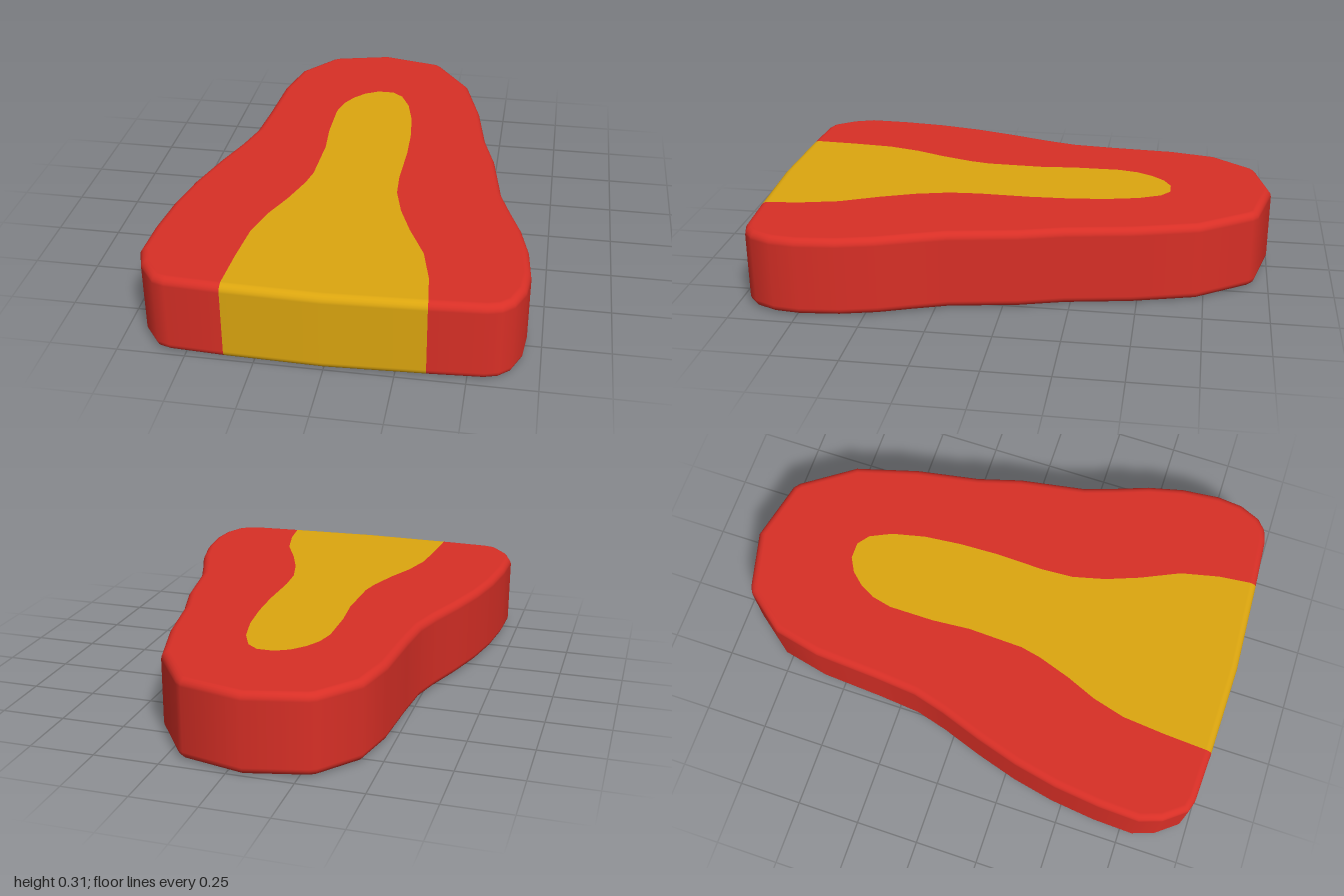
import * as THREE from 'three';

const HEIGHT = 0.31, RIM = 0.03, STEPS = 5;

// Outline [x, z], from the back tip round the left side to the front and back up the right side
const OUTLINE = [
  [-0.06, -1], [0.18, -0.945], [0.205, -0.925], [0.345, -0.725], [0.415, -0.48], [0.46, -0.23], [0.51, -0.06],
  [0.555, 0.2], [0.6, 0.33], [0.645, 0.45], [0.68, 0.59], [0.695, 0.74], [0.685, 0.84], [0.65, 0.92], [0.61, 0.955],
  [0.56, 0.97], [0.36, 0.983], [0, 1], [-0.36, 0.992], [-0.56, 0.982], [-0.605, 0.968], [-0.67, 0.885], [-0.7, 0.8],
  [-0.695, 0.64], [-0.675, 0.46], [-0.64, 0.29], [-0.59, 0.12], [-0.535, -0.04], [-0.5, -0.17], [-0.485, -0.34],
  [-0.47, -0.59], [-0.43, -0.775], [-0.31, -0.93], [-0.285, -0.945],
].map(p => new THREE.Vector2(...p));

// Border of the inlay [x, z], from its left front corner over the rounded tip to its right front corner
const INLAY = [
  [0.345, 0.83], [0.31, 0.68], [0.24, 0.53], [0.19, 0.4], [0.157, 0.27], [0.15, 0.15], [0.155, -0.05], [0.15, -0.2],
  [0.135, -0.35], [0.105, -0.48], [0.065, -0.565], [0.02, -0.6], [-0.045, -0.6], [-0.1, -0.57], [-0.145, -0.52],
  [-0.177, -0.46], [-0.195, -0.38], [-0.195, -0.2], [-0.183, -0.05], [-0.19, 0.17], [-0.207, 0.25], [-0.25, 0.38],
  [-0.3, 0.5], [-0.335, 0.63], [-0.35, 0.8],
].map(p => new THREE.Vector2(...p));

const N = OUTLINE.length;
const LEFT = OUTLINE.findIndex(p => p.x === 0.36);
const RIGHT = OUTLINE.findIndex(p => p.x === -0.36);

// Outward direction at each outline point
const NORMALS = OUTLINE.map((p, i) => {
  const a = p.clone().sub(OUTLINE[(i + N - 1) % N]).normalize();
  const b = OUTLINE[(i + 1) % N].clone().sub(p).normalize();
  const t = a.add(b).normalize();
  return new THREE.Vector2(t.y, -t.x);
});

// Side wall with rounded rims; the front strip uses the second material
function wallGeometry() {
  const pos = [], nor = [], red = [], yellow = [];
  const rows = 2 * (STEPS + 1);
  for (let j = 0; j < rows; j++) {
    const upper = j > STEPS;
    const k = upper ? j - STEPS - 1 : j - STEPS;
    const angle = (k / STEPS) * Math.PI / 2;
    const c = Math.cos(angle), s = Math.sin(angle);
    const y = (upper ? HEIGHT - RIM : RIM) + RIM * s;
    OUTLINE.forEach((p, i) => {
      const n = NORMALS[i], inset = RIM * (1 - c);
      pos.push(p.x - n.x * inset, y, p.y - n.y * inset);
      nor.push(n.x * c, s, n.y * c);
    });
  }
  for (let j = 0; j < rows - 1; j++) {
    for (let i = 0; i < N; i++) {
      const a = j * N + i, b = j * N + (i + 1) % N;
      (i >= LEFT && i < RIGHT ? yellow : red).push(a, a + N, b, b, a + N, b + N);
    }
  }
  const g = new THREE.BufferGeometry();
  g.setAttribute('position', new THREE.Float32BufferAttribute(pos, 3));
  g.setAttribute('normal', new THREE.Float32BufferAttribute(nor, 3));
  g.setIndex([...red, ...yellow]);
  g.addGroup(0, red.length, 0);
  g.addGroup(red.length, yellow.length, 1);
  return g;
}

// Flat face on the top or the underside
function faceGeometry(points, top) {
  const sign = top ? -1 : 1;
  const g = new THREE.ShapeGeometry(new THREE.Shape(points.map(p => new THREE.Vector2(p.x, sign * p.y))));
  return g.rotateX(sign * Math.PI / 2).translate(0, top ? HEIGHT : 0, 0);
}

export function createModel() {
  const red = new THREE.MeshStandardMaterial({ name: 'red', color: 0xd82f26 });
  const yellow = new THREE.MeshStandardMaterial({ name: 'golden yellow', color: 0xdca60f });
  const model = new THREE.Group();
  model.name = 'wedgeSlab';
  const add = (name, geometry, material) => {
    const mesh = new THREE.Mesh(geometry, material);
    mesh.name = name;
    model.add(mesh);
  };

  add('sideWall', wallGeometry(), [red, yellow]);

  // Flat faces, each split into the border and the inlay
  const rim = OUTLINE.map((p, i) => p.clone().addScaledVector(NORMALS[i], -RIM));
  const border = [...rim.slice(RIGHT), ...rim.slice(0, LEFT + 1), ...INLAY];
  const inlay = [...rim.slice(LEFT, RIGHT + 1), ...INLAY.slice().reverse()];
  for (const top of [true, false]) {
    const side = top ? 'top' : 'bottom';
    add(side + 'Border', faceGeometry(border, top), red);
    add(side + 'Inlay', faceGeometry(inlay, top), yellow);
  }
  return model;
}
